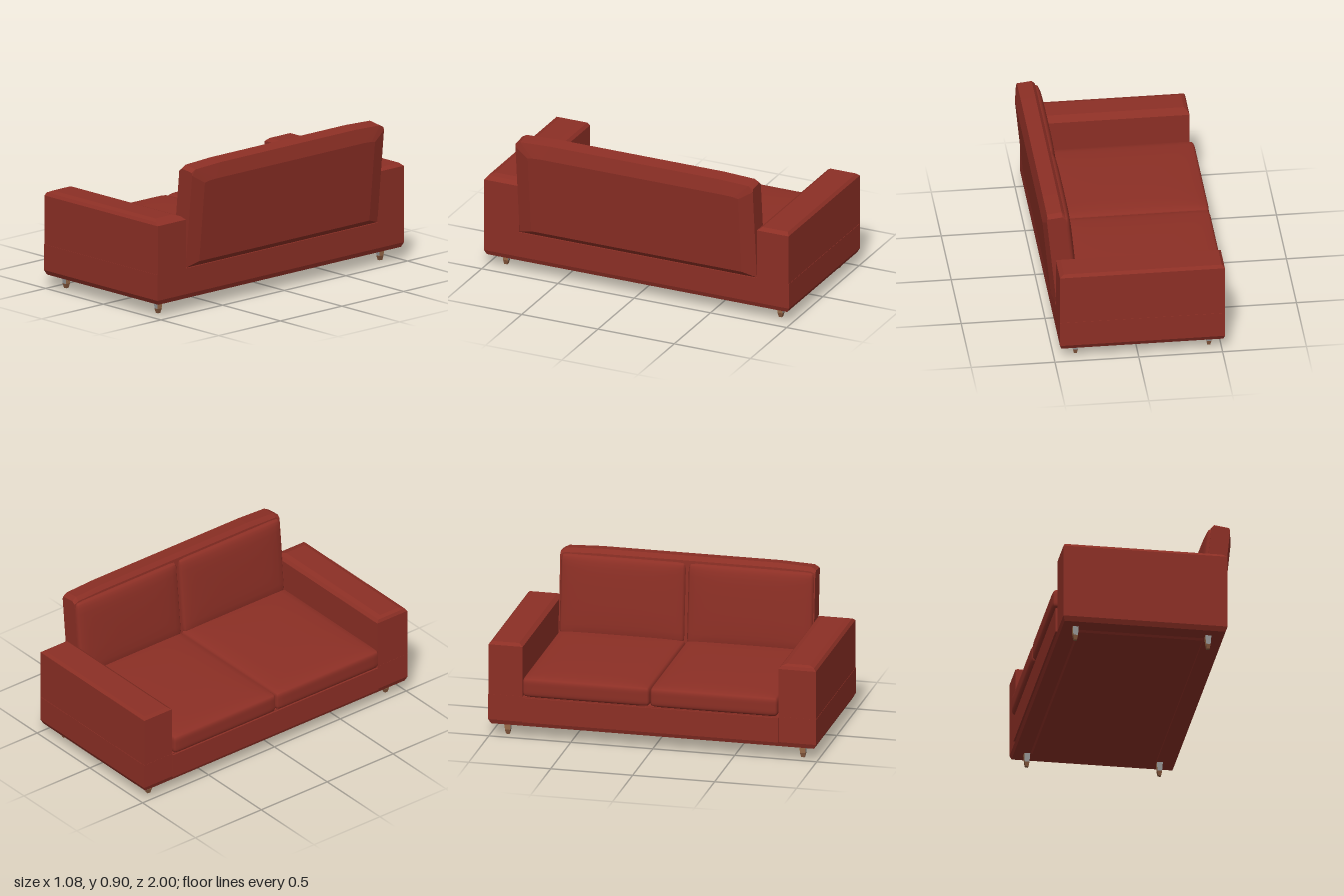
import * as THREE from 'three';
import { mergeVertices } from 'three/addons/utils/BufferGeometryUtils.js';
import { ConvexGeometry } from 'three/addons/geometries/ConvexGeometry.js';

const mat = (name, color) => {
  const m = new THREE.MeshStandardMaterial({ color });
  m.name = name;
  return m;
};

const LEAN = 0.1; // backward slope of the backrest
const Z0 = -0.79, Z1 = 0.77, MID = -0.012; // seat bay between the arms

// Faceted solid from stacked rectangles [y, x0, x1, z0, z1]
function stack(layers) {
  const pts = [];
  for (const [y, x0, x1, z0, z1] of layers)
    for (const x of [x0, x1]) for (const z of [z0, z1]) pts.push(new THREE.Vector3(x, y, z));
  return new ConvexGeometry(pts);
}

// Soft smooth cushion filling a box, rounded by r; bulge(u, v, w, p) reshapes it
function pillow(min, max, r, bulge) {
  const h = max.map((m, i) => (m - min[i]) / 2);
  const c = max.map((m, i) => (m + min[i]) / 2);
  let g = new THREE.BoxGeometry(2, 2, 2, 12, 12, 12);
  g.deleteAttribute('normal');
  g.deleteAttribute('uv');
  g = mergeVertices(g);
  const pos = g.attributes.position;
  const p = new THREE.Vector3(), inner = new THREE.Vector3();
  for (let i = 0; i < pos.count; i++) {
    const n = [pos.getX(i), pos.getY(i), pos.getZ(i)].map(u => Math.sin(u * Math.PI / 2));
    p.set(n[0] * h[0], n[1] * h[1], n[2] * h[2]);
    inner.set(...p.toArray().map((v, k) => THREE.MathUtils.clamp(v, r - h[k], h[k] - r)));
    const d = p.clone().sub(inner);
    if (d.length() > r) p.copy(inner).addScaledVector(d.normalize(), r);
    p.add(new THREE.Vector3(...c));
    bulge(n, p);
    pos.setXYZ(i, p.x, p.y, p.z);
  }
  g.computeVertexNormals();
  return g;
}

export function createModel() {
  const red = mat('redUpholstery', 0x8c2f25);
  const grey = mat('greyLeg', 0x979797);
  const tan = mat('tanLeg', 0x9c6c4a);
  const brown = mat('brownFoot', 0x85573c);

  const sofa = new THREE.Group();
  sofa.name = 'sofa';
  const add = (name, geometry, material = red, parent = sofa) => {
    const mesh = new THREE.Mesh(geometry, material);
    mesh.name = name;
    parent.add(mesh);
    return mesh;
  };

  // Base with chamfered lower edge, underside panel and front rail
  add('base', stack([
    [0.082, -0.505, 0.46, -0.985, 0.985],
    [0.11, -0.515, 0.47, -1, 1],
    [0.268, -0.515, 0.47, -1, 1],
  ]));
  add('undersidePanel', stack([
    [0.07, -0.4, 0.34, -0.865, 0.865],
    [0.09, -0.415, 0.355, -0.88, 0.88],
  ]));
  add('frontRail', stack([
    [0.11, -0.525, -0.4, Z0, Z1],
    [0.262, -0.525, -0.4, Z0, Z1],
  ]));

  // Arms: the left one has a broader chamfer
  add('leftArm', stack([
    [0.268, -0.514, 0.47, Z1, 0.998],
    [0.567, -0.514, 0.47, Z1, 0.998],
    [0.585, -0.505, 0.44, 0.785, 0.985],
    [0.595, -0.485, 0.405, 0.815, 0.955],
  ]));
  add('rightArm', stack([
    [0.268, -0.514, 0.47, -0.998, Z0],
    [0.578, -0.514, 0.47, -0.998, Z0],
    [0.595, -0.497, 0.445, -0.982, -0.815],
  ]));

  // Leaning backrest: outlines [depth, bottom, shoulder, top, half width, crown half width]
  const zc = (Z0 + Z1) / 2;
  const backPts = [];
  for (const [d, y0, ys, y1, w, cw] of [
    [0.46, 0.30, 0.79, 0.80, 0.69, 0.6],
    [0.438, 0.27, 0.845, 0.85, 0.778, 0.6],
    [0.432, 0.27, 0.862, 0.887, 0.778, 0.55],
    [0.343, 0.27, 0.872, 0.9, 0.778, 0.55],
    [0.325, 0.27, 0.855, 0.875, 0.778, 0.55],
  ])
    for (const s of [-1, 1])
      for (const [y, z] of [[y0, w], [ys, w], [(ys + y1 * 2) / 3, w - 0.03], [y1, cw]])
        backPts.push(new THREE.Vector3(d + LEAN * y, y, zc + s * z));
  add('backFrame', new ConvexGeometry(backPts));

  // Two seat cushions and two back cushions
  for (const [side, a, b] of [['right', Z0, MID], ['left', MID, Z1]]) {
    add(side + 'SeatCushion', pillow([-0.541, 0.27, a], [0.44, 0.393, b], 0.03, (n, p) => {
      if (n[1] > 0) p.y += 0.014 * n[1] * (1 - n[0] ** 4) * (1 - n[2] ** 4);
    }));
    add(side + 'BackCushion', pillow([0.302, 0.37, a + 0.008], [0.365, 0.862, b - 0.008], 0.03, (n, p) => {
      if (n[0] < 0) p.x += 0.014 * n[0] * (1 - n[1] ** 4) * (1 - n[2] ** 4);
      p.x += LEAN * p.y;
    }));
  }

  // Tapered four-sided legs: grey on the z faces, tan on the x faces
  const taper = (top, bottom, h) => {
    const g = new THREE.BoxGeometry(1, h, 1);
    const pos = g.attributes.position;
    for (let i = 0; i < pos.count; i++) {
      const s = pos.getY(i) > 0 ? top : bottom;
      pos.setX(i, pos.getX(i) * s);
      pos.setZ(i, pos.getZ(i) * s * 1.15);
    }
    g.computeVertexNormals();
    return g;
  };
  const shaft = taper(0.037, 0.028, 0.062), foot = taper(0.029, 0.018, 0.028);
  for (const x of [-0.428, 0.368])
    for (const z of [-0.9, 0.9]) {
      const leg = new THREE.Group();
      leg.name = (x < 0 ? 'front' : 'back') + (z < 0 ? 'Right' : 'Left') + 'Leg';
      leg.position.set(x, 0, z);
      add('legShaft', shaft, [tan, tan, tan, tan, grey, grey], leg).position.y = 0.059;
      add('legFoot', foot, brown, leg).position.y = 0.014;
      sofa.add(leg);
    }

  return sofa;
}
